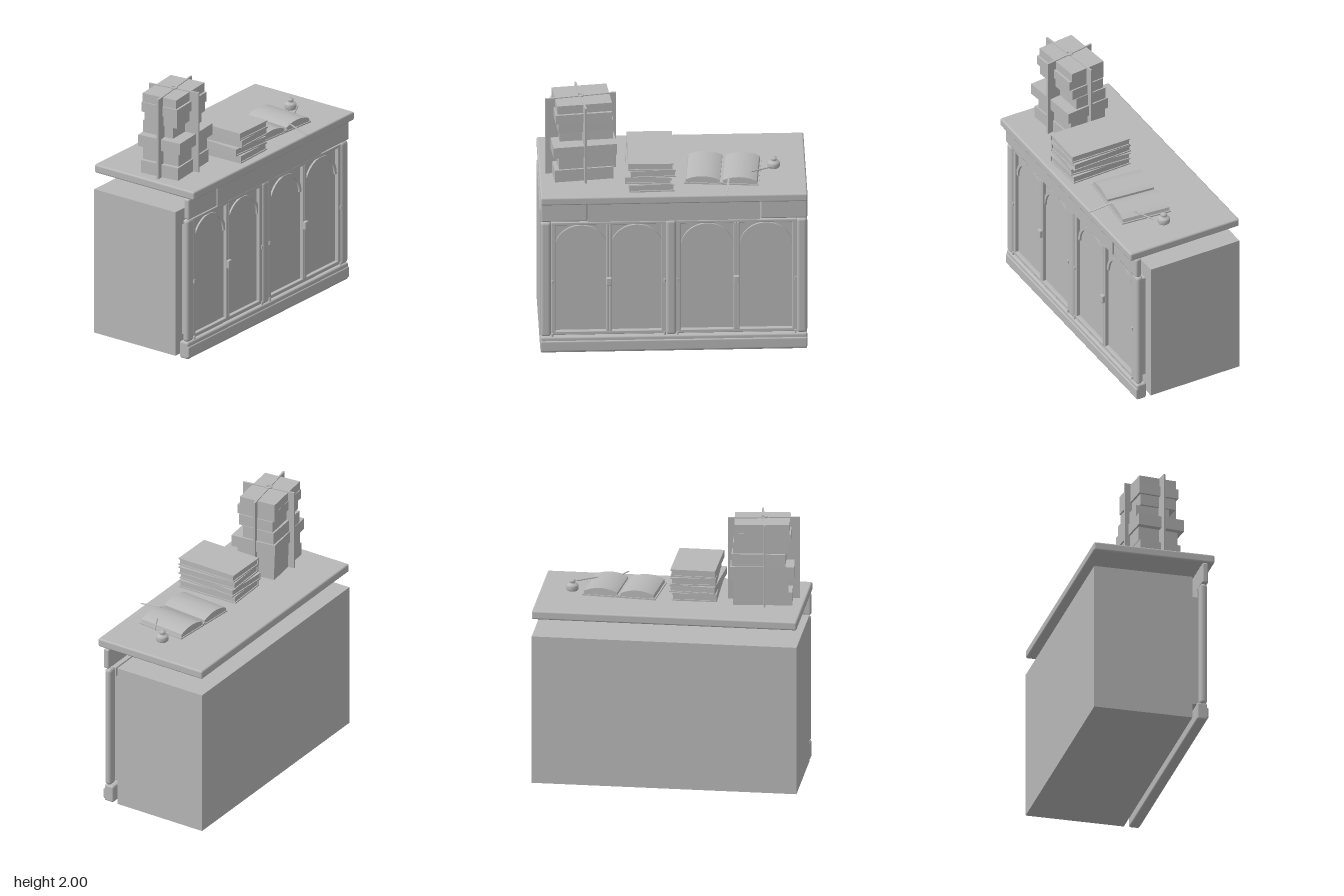
import * as THREE from 'three';
import { RoundedBoxGeometry } from 'three/addons/geometries/RoundedBoxGeometry.js';

export function createModel() {
  const gray = new THREE.MeshStandardMaterial({ color: 0xb8b8b8 });
  gray.name = 'plain gray';
  const model = new THREE.Group();
  model.name = 'cabinetWithBooks';

  const add = (parent, name, geometry, x = 0, y = 0, z = 0) => {
    const mesh = new THREE.Mesh(geometry, gray);
    mesh.name = name;
    mesh.position.set(x, y, z);
    parent.add(mesh);
    return mesh;
  };
  const group = (name, x = 0, y = 0, z = 0, turn = 0, parent = model) => {
    const g = new THREE.Group();
    g.name = name;
    g.position.set(x, y, z);
    g.rotation.y = turn;
    parent.add(g);
    return g;
  };
  // Box given by its limits on each axis; a radius rounds its edges
  const block = (parent, name, x0, x1, y0, y1, z0, z1, r = 0) => {
    const s = [x1 - x0, y1 - y0, z1 - z0];
    const geo = r ? new RoundedBoxGeometry(...s, 3, r) : new THREE.BoxGeometry(...s);
    return add(parent, name, geo, (x0 + x1) / 2, (y0 + y1) / 2, (z0 + z1) / 2);
  };

  // Carcass, floating top, frieze and plinth
  const cabinet = group('cabinet');
  block(cabinet, 'carcass', -0.99, 0.99, 0.005, 1.155, -0.47, 0.283);
  block(cabinet, 'tableTop', -0.99, 0.99, 1.288, 1.355, -0.47, 0.455, 0.014);
  block(cabinet, 'friezeLeft', 0.64, 0.99, 1.12, 1.285, 0.36, 0.408, 0.015);
  block(cabinet, 'friezeRight', -0.99, -0.64, 1.12, 1.285, 0.36, 0.408, 0.015);
  block(cabinet, 'drawerFront', -0.64, 0.64, 1.12, 1.285, 0.36, 0.412);
  block(cabinet, 'plinth', -0.99, 0.99, 0, 0.135, 0.32, 0.4, 0.015);
  block(cabinet, 'plinthBoard', -0.99, 0.99, 0.015, 0.102, 0.34, 0.408, 0.01);

  // Rounded posts
  for (const [x0, x1] of [[-0.99, -0.91], [-0.06, 0.02], [0.91, 0.99]]) {
    block(cabinet, 'post', x0, x1, 0.135, 1.115, 0.345, 0.4, 0.024);
  }

  // Arch moulding, a half ring
  const archShape = new THREE.Shape();
  archShape.absarc(0, 0, 0.195, 0, Math.PI, false);
  archShape.absarc(0, 0, 0.172, Math.PI, 0, true);
  const archGeo = new THREE.ExtrudeGeometry(archShape, { depth: 0.015, bevelEnabled: false, curveSegments: 24 });

  // Two bays, each with a pair of arched doors
  for (const [x0, x1, mid] of [[-0.91, -0.06, -0.48], [0.02, 0.91, 0.465]]) {
    const bay = group('doorPair', 0, 0, 0, 0, cabinet);
    block(bay, 'doorBacking', x0, x1, 0.155, 1.03, 0.284, 0.345);
    block(bay, 'doorPanel', x0, x1, 0.15, 1.1, 0.345, 0.36);
    block(bay, 'topRail', x0, x1, 1.08, 1.105, 0.345, 0.388, 0.006);
    block(bay, 'bottomRail', x0, x1, 0.145, 0.175, 0.345, 0.388, 0.006);
    for (const x of [x0 + 0.016, x1 - 0.016]) {
      block(bay, 'outerStile', x - 0.016, x + 0.016, 0.145, 1.105, 0.345, 0.388, 0.006);
    }
    for (const x of [mid - 0.011, mid + 0.011]) {
      block(bay, 'meetingStile', x - 0.011, x + 0.011, 0.17, 1.085, 0.345, 0.39, 0.006);
    }
    for (const x of [(x0 + 0.03 + mid - 0.02) / 2, (mid + 0.02 + x1 - 0.03) / 2]) {
      add(bay, 'arch', archGeo, x, 0.875, 0.36);
    }
    block(bay, 'latch', mid - 0.02, mid + 0.02, 0.57, 0.635, 0.385, 0.412, 0.006);
    for (const x of [x0 + 0.008, x1 - 0.008]) {
      for (const y of [0.15, 0.6]) {
        add(bay, 'hinge', new THREE.CylinderGeometry(0.008, 0.008, 0.025, 12), x, y, 0.392);
      }
    }
  }

  // Tall stack: centre x, z, width, depth, bottom, top, turn
  const tower = group('tallBookStack');
  for (const [x, z, w, d, y0, y1, turn] of [
    [-0.675, 0.04, 0.44, 0.32, 1.355, 1.455, 0.11],
    [-0.66, 0.03, 0.41, 0.31, 1.455, 1.57, 0.11],
    [-0.67, 0.043, 0.475, 0.36, 1.57, 1.66, 0.11],
    [-0.65, 0.0, 0.4, 0.26, 1.66, 1.755, 0.08],
    [-0.66, 0.03, 0.41, 0.28, 1.755, 1.84, 0.11],
    [-0.675, 0.033, 0.42, 0.31, 1.84, 1.915, 0.1],
    [-0.67, 0.025, 0.41, 0.29, 1.915, 1.985, 0.11],
  ]) {
    const book = group('stackedBook', x, y0, z, turn, tower);
    block(book, 'bookBody', -w / 2, w / 2, 0, y1 - y0, -d / 2, d / 2);
  }

  // Straps: two crossed thin plates with a ring on top
  const straps = group('straps', -0.68, 0, 0.04, 0.16, tower);
  block(straps, 'longStrap', -0.267, 0.267, 1.355, 1.992, -0.007, 0.007);
  block(straps, 'shortStrap', -0.007, 0.007, 1.355, 1.992, -0.207, 0.207);
  const knot = add(straps, 'knot', new THREE.TorusGeometry(0.021, 0.006, 8, 24), 0, 1.994, 0);
  knot.rotation.x = Math.PI / 2;

  // Low stack of bound books, spine on the right side (-x)
  const low = group('lowBookStack');
  for (const [x, z, w, d, y0, y1, turn] of [
    [-0.17, 0.145, 0.335, 0.49, 1.355, 1.415, 0.03],
    [-0.175, 0.14, 0.345, 0.49, 1.418, 1.474, -0.06],
    [-0.16, 0.145, 0.335, 0.49, 1.476, 1.535, 0.04],
    [-0.168, 0.147, 0.335, 0.49, 1.538, 1.596, -0.01],
  ]) {
    const book = group('boundBook', x, y0, z, turn, low);
    const h = y1 - y0;
    block(book, 'lowerCover', -w / 2, w / 2, 0, 0.01, -d / 2, d / 2);
    block(book, 'upperCover', -w / 2, w / 2, h - 0.01, h, -d / 2, d / 2);
    block(book, 'spine', -w / 2, -w / 2 + 0.01, 0.01, h - 0.01, -d / 2, d / 2);
    block(book, 'pages', -w / 2 + 0.01, w / 2 - 0.008, 0.01, h - 0.01, -d / 2 + 0.008, d / 2 - 0.008);
  }

  // Open book: covers and two arched page blocks
  const open = group('openBook', 0.372, 1.355, 0.102, -0.085);
  const pageShape = new THREE.Shape();
  pageShape.moveTo(0.012, 0.01);
  pageShape.lineTo(0.268, 0.01);
  pageShape.lineTo(0.262, 0.035);
  pageShape.bezierCurveTo(0.19, 0.072, 0.09, 0.075, 0.012, 0.035);
  pageShape.closePath();
  const pageGeo = new THREE.ExtrudeGeometry(pageShape, { depth: 0.38, bevelEnabled: false, curveSegments: 16 });
  for (const side of [0, 1]) {
    const half = group('bookHalf', 0, 0, 0, side * Math.PI, open);
    block(half, 'cover', 0.005, 0.278, 0, 0.01, -0.197, 0.197);
    add(half, 'pageBlock', pageGeo, 0, 0, -0.19);
  }
  block(open, 'openSpine', -0.02, 0.02, 0, 0.018, -0.195, 0.195);

  // Bookmark ribbon hanging over the front edge
  const mark = add(model, 'bookmark', new THREE.BoxGeometry(0.014, 0.004, 0.2), 0.4, 1.388, 0.372);
  mark.rotation.set(0.2, -0.13, 0);

  // Pen resting by the book
  const pen = new THREE.CatmullRomCurve3([
    new THREE.Vector3(0.58, 1.408, 0.2),
    new THREE.Vector3(0.65, 1.405, 0.165),
    new THREE.Vector3(0.735, 1.4, 0.12),
  ]);
  add(model, 'pen', new THREE.TubeGeometry(pen, 8, 0.006, 8), 0, 0, 0);

  // Ink bottle
  const bottle = [[0, 0], [0.04, 0], [0.046, 0.008], [0.046, 0.035], [0.04, 0.046], [0.02, 0.053],
    [0.018, 0.06], [0.023, 0.063], [0.023, 0.078], [0.012, 0.08], [0, 0.08]];
  add(model, 'inkBottle', new THREE.LatheGeometry(bottle.map(([x, y]) => new THREE.Vector2(x, y)), 24), 0.752, 1.355, 0.04);

  return model;
}
